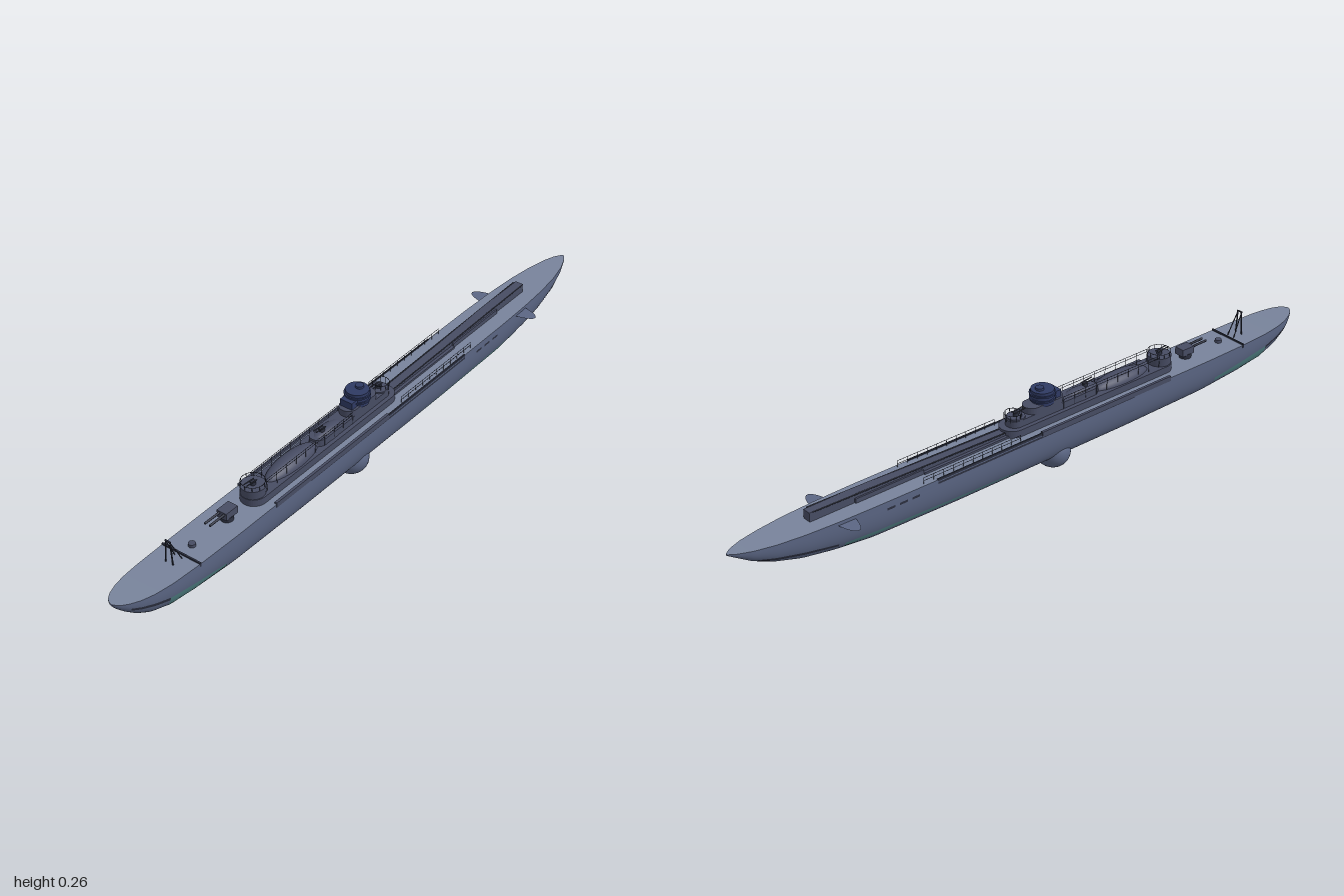
import * as THREE from 'three';

const C = { hull: 0x5b6684, deck: 0x78839b, tower: 0x2f3a63, house: 0x474c63, dark: 0x2c3040, teal: 0x4f7f82 };
const mats = {};
for (const k in C) mats[k] = new THREE.MeshStandardMaterial({ color: C[k], side: THREE.DoubleSide });

// Hull stations: x, deck height, keel height, half width
const stations = [
  [-1, 0.177, 0.172, 0.004], [-0.99, 0.176, 0.158, 0.02], [-0.97, 0.174, 0.138, 0.033], [-0.94, 0.171, 0.113, 0.045],
  [-0.9, 0.168, 0.089, 0.054], [-0.84, 0.165, 0.069, 0.06], [-0.75, 0.163, 0.056, 0.063], [-0.6, 0.162, 0.043, 0.065],
  [-0.3, 0.162, 0.038, 0.065], [0.3, 0.162, 0.038, 0.065], [0.58, 0.163, 0.043, 0.064], [0.7, 0.163, 0.056, 0.061],
  [0.8, 0.163, 0.073, 0.055], [0.88, 0.163, 0.097, 0.045], [0.94, 0.164, 0.124, 0.032], [0.98, 0.165, 0.149, 0.017], [1, 0.165, 0.161, 0.003],
];

function station(x) {
  let i = 1;
  while (i < stations.length - 1 && stations[i][0] < x) i++;
  const a = stations[i - 1], b = stations[i];
  const t = THREE.MathUtils.clamp((x - a[0]) / (b[0] - a[0]), 0, 1);
  return a.map((v, k) => v + (b[k] - v) * t);
}

// Half width of the hull at a height
function widthAt(x, y) {
  const [, deck, keel, w] = station(x);
  const d = THREE.MathUtils.clamp((deck - y) / (deck - keel), 0, 1);
  return w * Math.pow(1 - Math.pow(d, 2.5), 0.4);
}

// Surface from a rule point(i, j)
function surface(rows, cols, point) {
  const pos = [], idx = [], n = cols + 1;
  for (let i = 0; i <= rows; i++) for (let j = 0; j <= cols; j++) pos.push(...point(i, j));
  for (let i = 0; i < rows; i++) for (let j = 0; j < cols; j++) {
    const a = i * n + j, b = a + n;
    idx.push(a, b, a + 1, b, b + 1, a + 1);
  }
  const g = new THREE.BufferGeometry();
  g.setAttribute('position', new THREE.Float32BufferAttribute(pos, 3));
  g.setIndex(idx);
  g.computeVertexNormals();
  return g;
}

export function createModel() {
  const root = new THREE.Group();
  const add = (name, geo, mat, x = 0, y = 0, z = 0) => {
    const m = new THREE.Mesh(geo, mats[mat]);
    m.name = name;
    m.position.set(x, y, z);
    root.add(m);
    return m;
  };
  const box = (name, x0, x1, y0, y1, z0, z1, mat) =>
    add(name, new THREE.BoxGeometry(x1 - x0, y1 - y0, z1 - z0), mat, (x0 + x1) / 2, (y0 + y1) / 2, (z0 + z1) / 2);
  const drum = (name, x, y0, y1, r, mat, z = 0, rTop = r) =>
    add(name, new THREE.CylinderGeometry(rTop, r, y1 - y0, 28), mat, x, (y0 + y1) / 2, z);
  const rod = (name, a, b, r, mat = 'dark') => {
    const p = new THREE.Vector3(...a), q = new THREE.Vector3(...b), d = q.clone().sub(p);
    const m = add(name, new THREE.CylinderGeometry(r, r, d.length(), 6), mat);
    m.position.copy(p).add(q).multiplyScalar(0.5);
    m.quaternion.setFromUnitVectors(new THREE.Vector3(0, 1, 0), d.normalize());
  };
  // Round-ended block seen from above
  const block = (name, x0, x1, hw, y0, y1, mat) => {
    const s = new THREE.Shape();
    s.absarc(x1 - hw, 0, hw, -Math.PI / 2, Math.PI / 2);
    s.absarc(x0 + hw, 0, hw, Math.PI / 2, Math.PI * 1.5);
    const g = new THREE.ExtrudeGeometry(s, { depth: y1 - y0, bevelEnabled: false, curveSegments: 10 });
    g.rotateX(-Math.PI / 2);
    return add(name, g, mat, 0, y0, 0);
  };
  const blob = (name, x, y, z, rx, ry, rz, mat) => {
    const g = new THREE.SphereGeometry(1, 32, 20);
    g.scale(rx, ry, rz);
    return add(name, g, mat, x, y, z);
  };
  // Patch lying on the hull side, bounded by heights at both ends
  const patch = (name, x0, x1, lo0, hi0, lo1, hi1, mat) => {
    for (const s of [-1, 1]) add(name, surface(24, 4, (i, j) => {
      const u = i / 24, x = x0 + (x1 - x0) * u;
      const lo = lo0 + (lo1 - lo0) * u, hi = hi0 + (hi1 - hi0) * u;
      const y = s < 0 ? hi + (lo - hi) * j / 4 : lo + (hi - lo) * j / 4;
      return [x, y, s * (widthAt(x, y) + 0.0008)];
    }), mat);
  };

  // Hull shell and deck
  const rows = 100, xs = i => -Math.cos(i / rows * Math.PI);
  add('hull', surface(rows, 32, (i, j) => {
    const [x, deck, keel, w] = station(xs(i)), a = j / 32 * Math.PI;
    const c = Math.cos(a), s = Math.sin(a);
    return [x, deck - (deck - keel) * Math.pow(Math.abs(s), 0.8), -w * Math.sign(c) * Math.pow(Math.abs(c), 0.8)];
  }), 'hull');
  add('deck', surface(rows, 4, (i, j) => {
    const [x, deck, , w] = station(xs(i));
    return [x, deck, w * (1 - j / 2)];
  }), 'deck');

  // Painted streaks, dark recesses and drain holes on the sides
  patch('bowStreak', -0.85, -0.64, 0.085, 0.122, 0.078, 0.09, 'teal');
  patch('sternStreak', 0.1, 0.68, 0.062, 0.067, 0.07, 0.085, 'teal');
  patch('bowRecess', -0.965, -0.85, 0.148, 0.156, 0.112, 0.122, 'dark');
  patch('sternRecess', 0.7, 0.93, 0.082, 0.09, 0.121, 0.13, 'dark');
  patch('sideSlot', -0.31, 0.39, 0.15, 0.156, 0.15, 0.156, 'dark');
  for (const x of [0.45, 0.49, 0.53]) patch('drainHole', x, x + 0.025, 0.137, 0.144, 0.137, 0.144, 'dark');

  // Keel dome and stern planes
  blob('keelDome', -0.06, 0.053, 0, 0.05, 0.053, 0.057, 'hull');
  const plane = new THREE.Shape();
  plane.absellipse(0, 0, 0.032, 0.112, 0, Math.PI * 2);
  const pg = new THREE.ShapeGeometry(plane, 24);
  pg.rotateX(-Math.PI / 2);
  add('sternPlanes', pg, 'hull', 0.68, 0.153, 0);

  // Side ledges and edge railings
  for (const s of [-1, 1]) {
    box('sideLedge', -0.45, 0.03, 0.153, 0.168, s * 0.0625 - 0.004, s * 0.0625 + 0.004, 'house');
    box('deckEdge', 0.03, 0.39, 0.158, 0.165, s * 0.063 - 0.002, s * 0.063 + 0.002, 'dark');
    for (let i = 0; i <= 10; i++) rod('railPost', [0.1 + i * 0.033, 0.16, s * 0.056], [0.1 + i * 0.033, 0.181, s * 0.056], 0.0007);
    for (const y of [0.172, 0.181]) rod('deckRail', [0.1, y, s * 0.056], [0.43, y, s * 0.056], 0.0007);
  }

  // Deckhouse with hangar humps
  block('deckhouseBase', -0.5, 0.12, 0.038, 0.16, 0.183, 'house');
  block('deckhouseUpper', -0.22, 0.1, 0.026, 0.18, 0.203, 'house');
  blob('hangar', -0.31, 0.178, 0, 0.105, 0.03, 0.033, 'house');
  blob('hangarRear', -0.16, 0.183, 0, 0.07, 0.028, 0.027, 'house');
  drum('gunPlatform', -0.465, 0.165, 0.208, 0.033, 'house', 0, 0.035);
  drum('aftPlatform', 0.07, 0.18, 0.207, 0.026, 'house');

  // Railings of the deckhouse
  for (const s of [-1, 1]) {
    for (const y of [0.212, 0.22]) rod('houseRail', [-0.44, y, s * 0.026], [-0.08, y, s * 0.026], 0.0007);
    for (let x = -0.44; x < -0.07; x += 0.04) rod('houseRailPost', [x, 0.18, s * 0.026], [x, 0.22, s * 0.026], 0.0007);
  }
  for (const [x, r] of [[-0.465, 0.033], [0.08, 0.024]]) {
    const g = new THREE.TorusGeometry(r, 0.0008, 5, 28);
    g.rotateX(Math.PI / 2);
    add('platformRail', g, 'dark', x, 0.22, 0);
    for (let k = 0; k < 10; k++) {
      const cx = x + r * Math.cos(k * Math.PI / 5), cz = r * Math.sin(k * Math.PI / 5);
      rod('platformPost', [cx, 0.2, cz], [cx, 0.22, cz], 0.0008);
    }
  }

  // Conning tower
  block('towerFoot', -0.09, 0.04, 0.027, 0.2, 0.222, 'house');
  drum('tower', -0.025, 0.216, 0.257, 0.033, 'tower');
  for (const y of [0.228, 0.243]) drum('towerRing', -0.025, y, y + 0.005, 0.037, 'tower');
  box('towerWing', -0.075, -0.05, 0.21, 0.243, -0.02, 0.02, 'tower');
  drum('periscopeCap', -0.015, 0.256, 0.264, 0.012, 'tower');

  // Small guns on the deckhouse
  for (const x of [-0.465, -0.18, 0.07]) {
    drum('gunMount', x, 0.2, 0.218, 0.008, 'dark');
    for (const z of [-0.005, 0.005]) rod('smallBarrel', [x + 0.01, 0.218, z], [x - 0.03, 0.222, z], 0.0018);
  }

  // Deck gun
  drum('deckGunBase', -0.57, 0.16, 0.176, 0.018, 'dark');
  box('deckGunBody', -0.59, -0.545, 0.174, 0.196, -0.016, 0.016, 'house');
  for (const z of [-0.008, 0.008]) rod('deckGunBarrel', [-0.57, 0.19, z], [-0.645, 0.191, z], 0.0035);

  // Fore deck: hatch, breakwater and A-frame mast
  drum('hatch', -0.705, 0.16, 0.172, 0.01, 'house');
  box('breakwater', -0.748, -0.743, 0.155, 0.167, -0.064, 0.064, 'dark');
  for (const s of [-1, 1]) {
    rod('mastLeg', [-0.79, 0.16, s * 0.012], [-0.79, 0.235, s * 0.007], 0.0022);
    rod('mastStrut', [-0.79, 0.232, s * 0.007], [-0.757, 0.163, s * 0.012], 0.0015);
  }
  rod('mastTop', [-0.79, 0.234, -0.009], [-0.79, 0.234, 0.009], 0.0025);

  // Aft launching track, rising towards the stern
  const track = new THREE.Shape([[0.1, 0.16], [0.76, 0.16], [0.76, 0.19], [0.6, 0.189], [0.36, 0.182], [0.1, 0.175]].map(p => new THREE.Vector2(...p)));
  add('launchTrack', new THREE.ExtrudeGeometry(track, { depth: 0.026, bevelEnabled: false }), 'house', 0, 0, -0.013);
  for (const s of [-1, 1]) rod('trackRail', [0.12, 0.177, s * 0.014], [0.75, 0.19, s * 0.014], 0.002);
  box('trackFoot', 0.1, 0.4, 0.16, 0.168, -0.022, 0.022, 'house');
  box('trackMiddle', 0.4, 0.62, 0.16, 0.176, -0.018, 0.018, 'house');

  return root;
}
